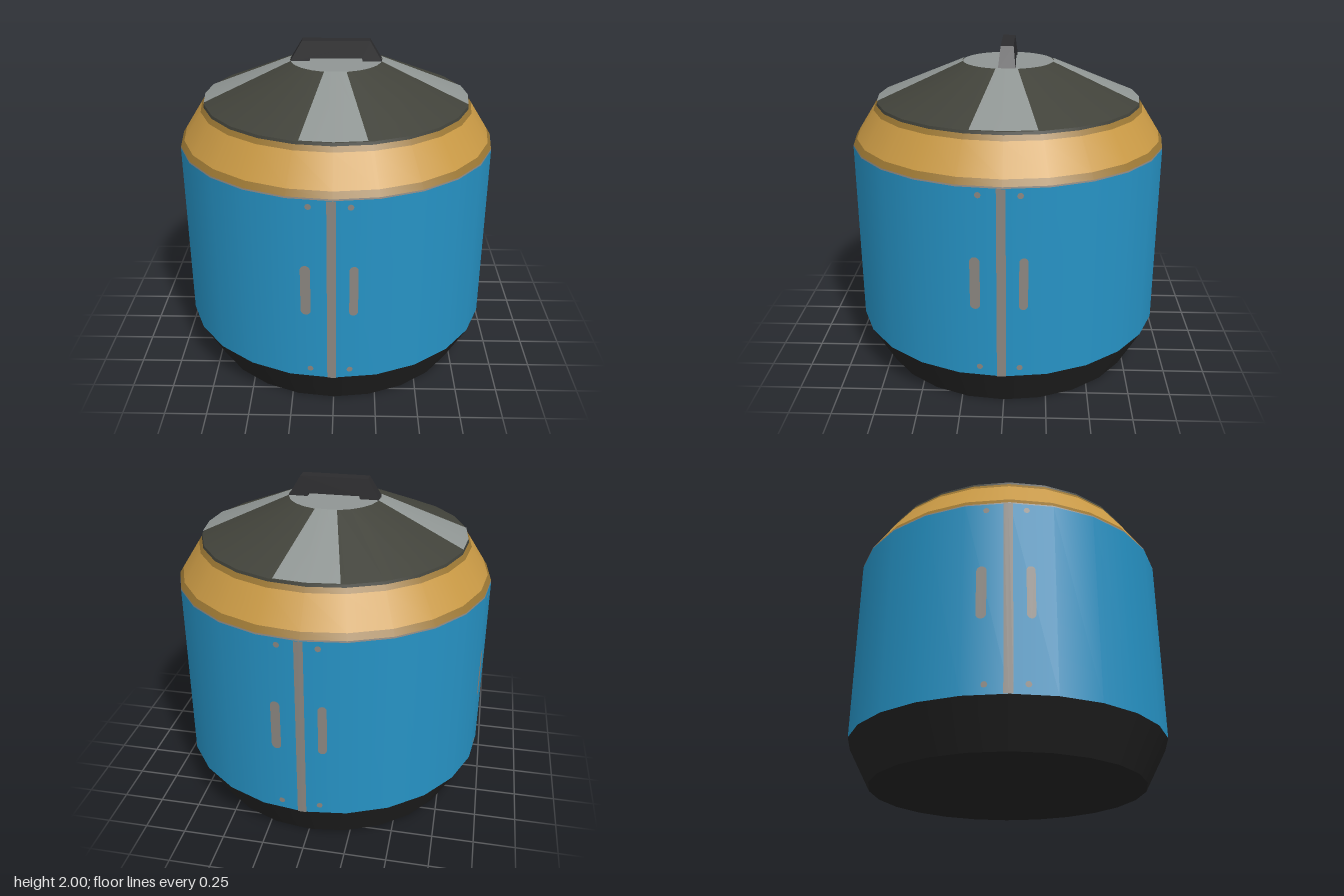
import * as THREE from 'three';

const SIDES = 24;
const RADIUS = 0.967;
const FACET = Math.PI / SIDES; // half the angle of one side

const paint = (name, color) => {
  const m = new THREE.MeshStandardMaterial({ color });
  m.name = name;
  return m;
};

export function createModel() {
  const blue = paint('blue', 0x2692c4);
  const gold = paint('gold', 0xca9a45);
  const darkGold = paint('dark gold', 0x9a7633);
  const charcoal = paint('charcoal', 0x41423a);
  const grey = paint('light grey', 0x8f9593);
  const seamGrey = paint('seam grey', 0x8b8680);
  const black = paint('black', 0x232323);
  const handleBlack = paint('handle black', 0x2b2b2d);

  const model = new THREE.Group();
  model.name = 'canister';

  const add = (parent, name, geometry, material) => {
    const mesh = new THREE.Mesh(geometry, material);
    mesh.name = name;
    parent.add(mesh);
    return mesh;
  };

  // One straight band of the turned shell, from (r0, y0) to (r1, y1)
  const band = (r0, y0, r1, y1, sides = SIDES, start = 0, length = Math.PI * 2) =>
    new THREE.LatheGeometry(
      [new THREE.Vector2(r0, y0), new THREE.Vector2(r1, y1)], sides, start, length);

  // Shell, from the bottom up
  const shoulderR = (y) => THREE.MathUtils.mapLinear(y, 1.405, 1.64, 0.965, 0.815);
  const shoulder = (y0, y1) => band(shoulderR(y0), y0, shoulderR(y1), y1);
  add(model, 'underside', band(0, 0, 0.83, 0), black);
  add(model, 'base', band(0.83, 0, RADIUS, 0.255), black);
  add(model, 'body', band(RADIUS, 0.255, RADIUS, 1.396), blue);
  add(model, 'bodyRim', band(RADIUS, 1.396, 0.965, 1.405), seamGrey);
  add(model, 'lowerShoulderEdge', shoulder(1.405, 1.44), darkGold);
  add(model, 'shoulder', shoulder(1.44, 1.612), gold);
  add(model, 'upperShoulderEdge', shoulder(1.612, 1.64), darkGold);
  add(model, 'lidRim', band(0.815, 1.64, 0.81, 1.656), charcoal);
  add(model, 'lid', band(0.81, 1.656, 0.278, 1.88), charcoal);
  add(model, 'lidCap', band(0.278, 1.88, 0, 1.88), grey);

  // Rounded slot centred on the origin
  const slotShape = (width, height) => {
    const r = width / 2, h = height / 2 - r;
    const s = new THREE.Shape();
    s.absarc(0, h, r, 0, Math.PI);
    s.absarc(0, -h, r, Math.PI, Math.PI * 2);
    s.closePath();
    return s;
  };
  const rivet = new THREE.CircleGeometry(0.018, 8);
  const slots = {
    '-1': new THREE.ShapeGeometry(slotShape(0.057, 0.315), 6),
    '1': new THREE.ShapeGeometry(slotShape(0.05, 0.315), 6),
  };
  const stripe = band(0.81, 1.661, 0.28, 1.884, 2, -0.23, 0.46);
  const seam = band(RADIUS + 0.003, 0.256, RADIUS + 0.003, 1.396, 2, -0.034, 0.053);

  // Details repeated on the four quarters
  for (let q = 0; q < 4; q++) {
    const quarter = new THREE.Group();
    quarter.name = 'quarterDetails' + (q + 1);
    quarter.rotation.y = q * Math.PI / 2;
    model.add(quarter);
    add(quarter, 'lidStripe', stripe, grey);
    add(quarter, 'panelSeam', seam, seamGrey);

    // Slot and rivets lie on the flat sides next to the seam
    for (const side of [-1, 1]) {
      const panel = new THREE.Group();
      panel.name = side < 0 ? 'rightPanelMarks' : 'leftPanelMarks';
      panel.rotation.y = side * FACET;
      quarter.add(panel);
      const z = RADIUS * Math.cos(FACET) + 0.003;
      add(panel, 'slot', slots[side], seamGrey).position.set(side < 0 ? -0.027 : -0.01, 0.838, z);
      for (const y of [0.31, 1.355]) {
        add(panel, 'rivet', rivet, seamGrey).position.set(side < 0 ? -0.005 : -0.03, y, z);
      }
    }
  }

  // Handle: a low arch that narrows towards the top
  const arch = new THREE.Shape([
    [-0.278, 1.875], [-0.16, 1.875], [-0.155, 1.897], [0.155, 1.897],
    [0.16, 1.875], [0.278, 1.875], [0.203, 2], [-0.203, 2],
  ].map(([x, y]) => new THREE.Vector2(x, y)));
  const handle = new THREE.ExtrudeGeometry(arch, { depth: 2, bevelEnabled: false });
  const p = handle.attributes.position;
  for (let i = 0; i < p.count; i++) {
    const half = THREE.MathUtils.mapLinear(p.getY(i), 1.875, 2, 0.052, 0.038);
    p.setZ(i, (p.getZ(i) - 1) * half);
  }
  handle.computeVertexNormals();
  add(model, 'handle', handle, handleBlack);

  return model;
}
